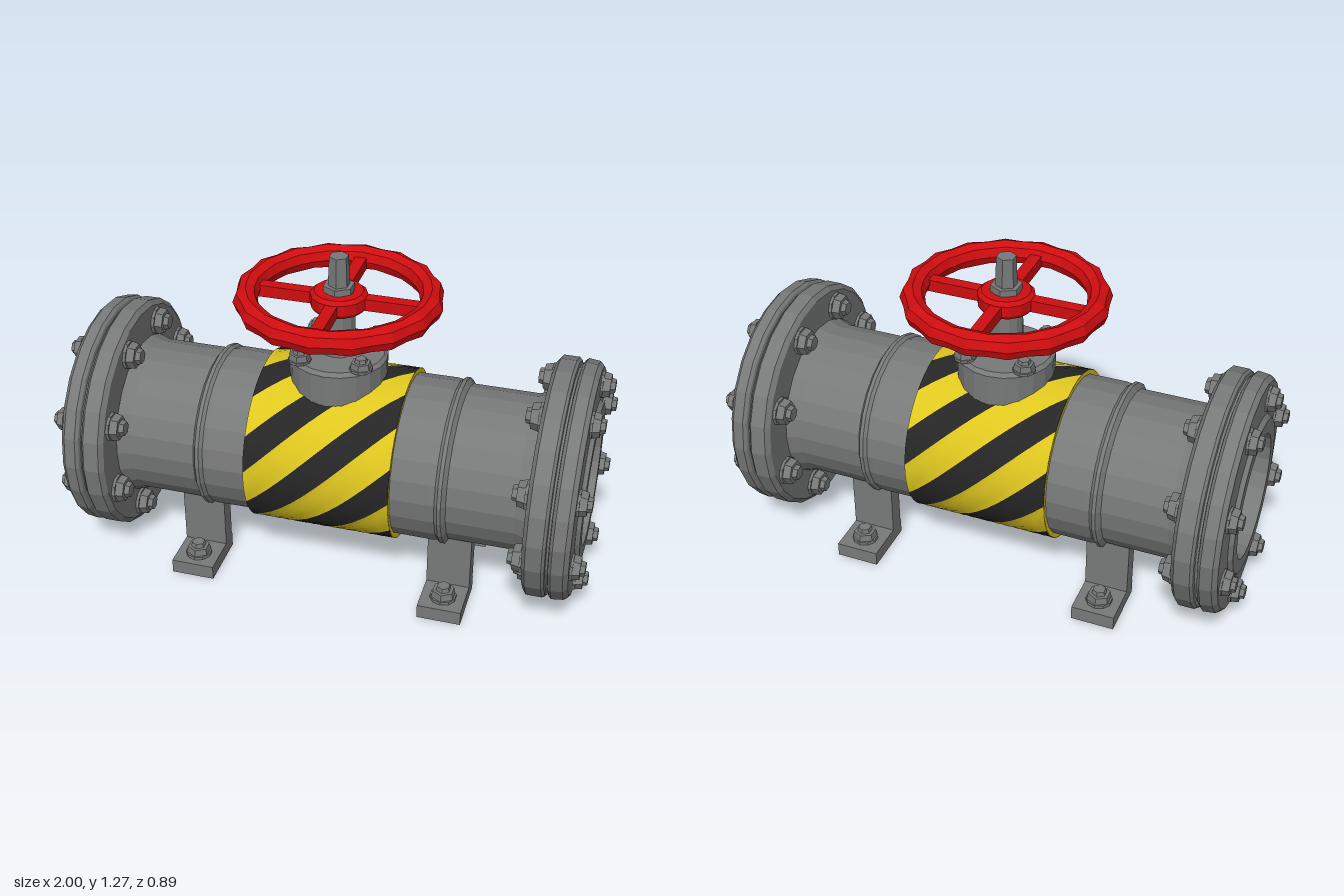
import * as THREE from 'three';

const mat = (name, color, extra = {}) => {
  const m = new THREE.MeshStandardMaterial({ color, flatShading: true, ...extra });
  m.name = name;
  return m;
};
const AXIS_Y = 0.483; // height of the pipe axis
const BAND_R = 0.325;
const BAND_X = 0.275;

export function createModel() {
  const steel = mat('steel grey', 0x787a79);
  const red = mat('wheel red', 0xd00d10);
  const yellow = mat('warning yellow', 0xdfc71f);
  const black = mat('warning black', 0x262626);
  const root = new THREE.Group();
  root.name = 'pipeValve';

  const add = (parent, name, geo, material, x = 0, y = 0, z = 0) => {
    const m = new THREE.Mesh(geo, material);
    m.name = name;
    m.position.set(x, y, z);
    parent.add(m);
    return m;
  };
  const lathe = (pts, n) => new THREE.LatheGeometry(pts.map(p => new THREE.Vector2(...p)), n);
  const drum = (r0, r1, h, n) => new THREE.CylinderGeometry(r0, r1, h, n);

  // Hexagonal bolt standing on y = 0
  const bolt = (parent, name, size = 1) => {
    const g = new THREE.Group();
    g.name = name;
    add(g, 'washer', drum(0.05, 0.05, 0.012, 10), steel, 0, 0.006);
    add(g, 'nut', drum(0.042, 0.047, 0.026, 6), steel, 0, 0.025);
    add(g, 'boltTip', drum(0.025, 0.029, 0.018, 6), steel, 0, 0.046);
    g.scale.setScalar(size);
    parent.add(g);
    return g;
  };

  // Hollow pipe with paired flanges, mirrored about the middle
  const half = [
    [0.305, 0.0], [0.308, 0.42], [0.305, 0.44], [0.315, 0.452], [0.315, 0.466], [0.294, 0.48],
    [0.294, 0.73], [0.31, 0.78], [0.428, 0.78], [0.447, 0.795], [0.447, 0.853], [0.437, 0.863],
    [0.425, 0.865], [0.425, 0.873], [0.437, 0.876], [0.447, 0.887], [0.442, 0.93], [0.425, 0.947],
    [0.305, 0.949], [0.29, 0.965], [0.235, 0.965],
  ];
  const profile = [...half.slice(1).reverse().map(([r, x]) => [r, -x]), ...half, [0.235, -0.965]];
  const line = new THREE.Group();
  line.name = 'pipeLine';
  line.position.y = AXIS_Y;
  root.add(line);
  add(line, 'pipeBody', lathe(profile, 24), steel).rotation.z = -Math.PI / 2;

  // Bolts on both faces of both flanges
  for (const side of [-1, 1]) {
    for (let i = 0; i < 8; i++) {
      const a = (i + 0.5) * Math.PI / 4;
      for (const [x, dir] of [[0.944, 1], [0.782, -1]]) {
        const b = bolt(line, 'flangeBolt', dir > 0 ? 1 : 1.1);
        b.position.set(side * x, 0.363 * Math.sin(a), 0.363 * Math.cos(a));
        b.rotation.z = -side * dir * Math.PI / 2;
      }
    }
  }

  // Warning band: interleaved helical strips around the pipe
  const strip = (from, to) => {
    const pos = [], idx = [], nx = 12, na = 4;
    for (let i = 0; i <= nx; i++) {
      const x = -BAND_X + 2 * BAND_X * i / nx;
      for (let j = 0; j <= na; j++) {
        const t = from + (to - from) * j / na - x / BAND_R;
        pos.push(x, BAND_R * Math.cos(t), BAND_R * Math.sin(t));
        if (i < nx && j < na) {
          const a = i * (na + 1) + j, b = a + na + 1;
          idx.push(a, a + 1, b, b, a + 1, b + 1);
        }
      }
    }
    const g = new THREE.BufferGeometry();
    g.setAttribute('position', new THREE.Float32BufferAttribute(pos, 3));
    g.setIndex(idx);
    g.computeVertexNormals();
    return g;
  };
  const smooth = { flatShading: false, side: THREE.DoubleSide };
  yellow.setValues(smooth);
  black.setValues(smooth);
  const step = Math.PI * 2 / 7;
  for (let i = 0; i < 7; i++) {
    const c = i * step, w = step * 0.26;
    add(line, 'yellowStripe', strip(c - w, c + w), yellow);
    add(line, 'blackStripe', strip(c + w, c + step - w), black);
  }
  for (const side of [-1, 1]) {
    const rim = add(line, 'bandEdge', new THREE.RingGeometry(0.29, BAND_R, 28), yellow, side * BAND_X);
    rim.rotation.y = side * Math.PI / 2;
  }

  // Four L-shaped feet with anchor bolts
  for (const sx of [-1, 1]) {
    for (const sz of [-1, 1]) {
      const foot = new THREE.Group();
      foot.name = 'foot';
      foot.position.x = sx * 0.485;
      add(foot, 'footPlate', new THREE.BoxGeometry(0.165, 0.055, 0.225), steel, 0, 0.0275, sz * 0.2425);
      add(foot, 'footUpright', new THREE.BoxGeometry(0.165, 0.22, 0.065), steel, 0, 0.162, sz * 0.1675);
      bolt(foot, 'anchorBolt').position.set(0, 0.055, sz * 0.28);
      root.add(foot);
    }
  }

  // Bonnet on top of the pipe with four bolts
  add(root, 'bonnet', lathe([[0, 0.66], [0.18, 0.66], [0.182, 0.875], [0.17, 0.89], [0, 0.89]], 20), steel);
  for (const x of [-0.115, 0.115]) {
    for (const z of [-0.115, 0.115]) bolt(root, 'bonnetBolt', 0.85).position.set(x, 0.888, z);
  }

  // Stem
  add(root, 'stemSleeve', drum(0.06, 0.065, 0.19, 12), steel, 0, 0.975);
  add(root, 'wheelNut', drum(0.058, 0.062, 0.1, 6), steel, 0, 1.108);
  add(root, 'stemTip', drum(0.036, 0.041, 0.12, 6), steel, 0, 1.21);

  // Handwheel: knobbly rim, hub and four spokes
  const wheel = new THREE.Group();
  wheel.name = 'handwheel';
  wheel.position.y = 1.107;
  root.add(wheel);
  const rim = new THREE.TorusGeometry(0.333, 0.043, 8, 32);
  rim.rotateX(Math.PI / 2);
  const p = rim.attributes.position;
  for (let i = 0; i < p.count; i++) {
    const x = p.getX(i), z = p.getZ(i), r = Math.hypot(x, z);
    const wave = Math.cos(Math.atan2(z, x) * 16);
    const k = r > 0.34 ? 1 + 0.014 * wave : 1;
    p.setXYZ(i, x * k, p.getY(i) * (1.06 + 0.05 * wave), z * k);
  }
  rim.computeVertexNormals();
  add(wheel, 'wheelRim', rim, red);
  add(wheel, 'wheelHub', lathe([[0.055, -0.04], [0.095, -0.04], [0.105, -0.025], [0.105, 0.015],
    [0.09, 0.028], [0.055, 0.028], [0.055, -0.04]], 14), red);
  for (let i = 0; i < 4; i++) {
    const a = i * Math.PI / 2;
    const s = add(wheel, 'wheelSpoke', new THREE.BoxGeometry(0.23, 0.045, 0.045), red,
      0.205 * Math.cos(a), -0.008, -0.205 * Math.sin(a));
    s.rotation.y = a;
  }
  return root;
}
